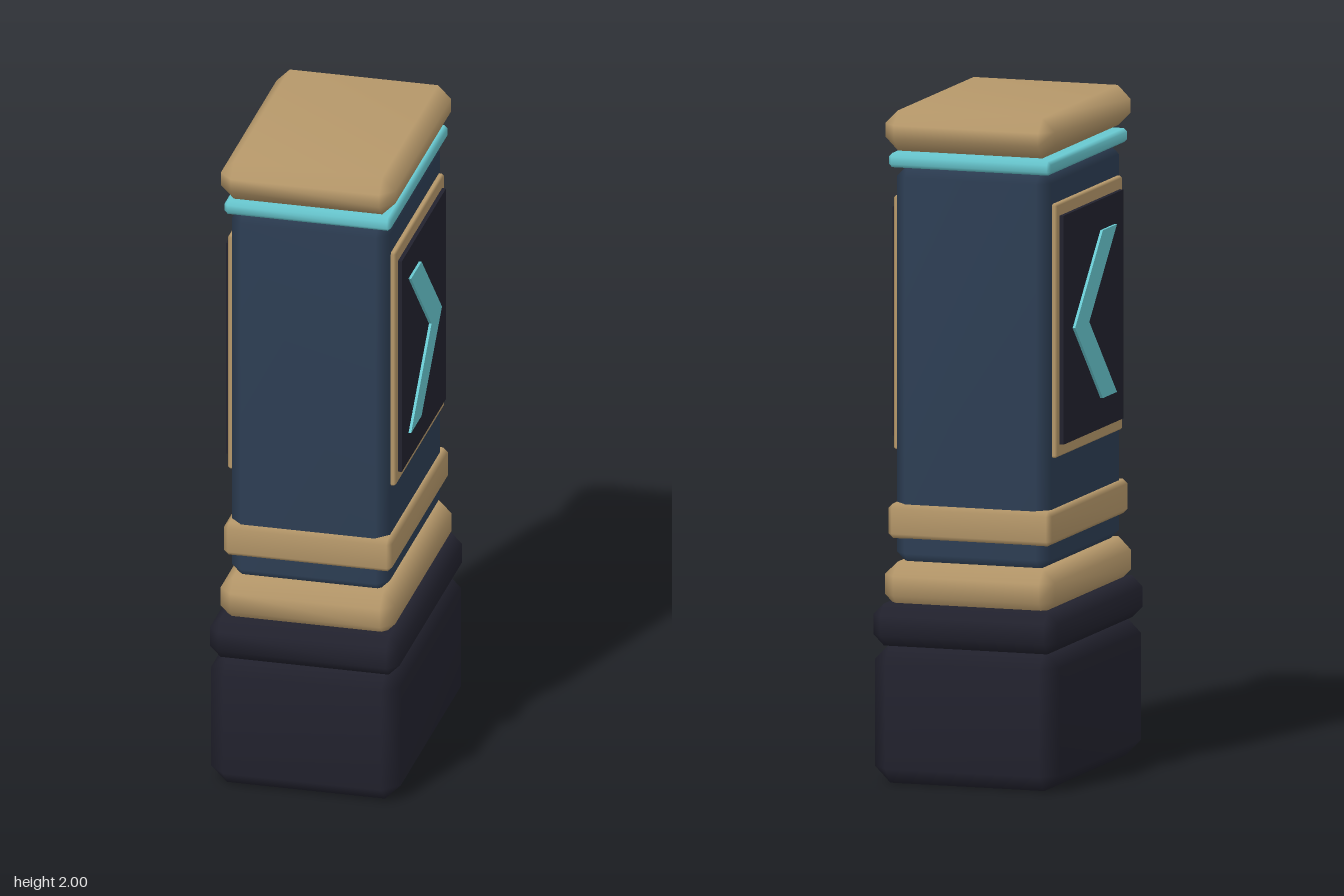
import * as THREE from 'three';
import { ConvexGeometry } from 'three/addons/geometries/ConvexGeometry.js';
import { mergeVertices } from 'three/addons/utils/BufferGeometryUtils.js';

function material(name, color) {
  const m = new THREE.MeshStandardMaterial({ color });
  m.name = name;
  return m;
}

// Box with every edge chamfered by c; normals blend softly over the chamfers
function chamferBox(hx, hy, hz, c) {
  const points = [];
  for (const sx of [-1, 1]) for (const sy of [-1, 1]) for (const sz of [-1, 1]) {
    points.push(
      new THREE.Vector3(sx * hx, sy * (hy - c), sz * (hz - c)),
      new THREE.Vector3(sx * (hx - c), sy * hy, sz * (hz - c)),
      new THREE.Vector3(sx * (hx - c), sy * (hy - c), sz * hz));
  }
  const hull = new ConvexGeometry(points);
  hull.deleteAttribute('normal');
  const geometry = mergeVertices(hull, 1e-5);
  geometry.computeVertexNormals();
  return geometry;
}

export function createModel() {
  const group = new THREE.Group();
  const gold = material('gold', 0xb6986a);
  const navy = material('navy', 0x2d3e54);
  const dark = material('dark', 0x22222e);
  const teal = material('teal', 0x68c8d0);

  function add(parent, name, geometry, mat, x = 0, y = 0, z = 0) {
    const mesh = new THREE.Mesh(geometry, mat);
    mesh.name = name;
    mesh.position.set(x, y, z);
    parent.add(mesh);
    return mesh;
  }

  // Stacked blocks: name, material, half width, half depth, bottom, top, chamfer
  const blocks = [
    ['base', dark, 0.288, 0.408, 0, 0.415, 0.048],
    ['baseTrim', dark, 0.288, 0.408, 0.41, 0.535, 0.033],
    ['lowerCollar', gold, 0.265, 0.374, 0.52, 0.655, 0.038],
    ['body', navy, 0.24, 0.335, 0.645, 1.835, 0.035],
    ['band', gold, 0.255, 0.348, 0.725, 0.828, 0.014],
    ['glowRing', teal, 0.253, 0.347, 1.83, 1.872, 0.01],
    ['cap', gold, 0.265, 0.374, 1.88, 2, 0.04],
  ];
  for (const [name, mat, hx, hz, y0, y1, c] of blocks) {
    add(group, name, chamferBox(hx, (y1 - y0) / 2, hz, c), mat, 0, (y0 + y1) / 2, 0);
  }

  // Arrow outline, drawn in (-z, y) and pointing to the back
  const arrow = new THREE.Shape([
    [-0.185, 1.61], [0.06, 1.355], [-0.185, 1.11],
    [-0.06, 1.11], [0.185, 1.355], [-0.06, 1.61],
  ].map(([u, v]) => new THREE.Vector2(u, v)));
  const arrowGeometry = new THREE.ExtrudeGeometry(arrow, { depth: 0.009, bevelEnabled: false });

  // Side panels, with the arrow turned to point to the back on both sides
  for (const side of [1, -1]) {
    const panel = new THREE.Group();
    panel.name = side > 0 ? 'leftPanel' : 'rightPanel';
    add(panel, 'panelFrame', chamferBox(0.02, 0.378, 0.292, 0.006), gold, side * 0.235, 1.36, 0);
    add(panel, 'panelPlate', new THREE.BoxGeometry(0.03, 0.682, 0.53), dark, side * 0.252, 1.36, 0);
    const mark = add(panel, 'arrow', arrowGeometry, teal, side * 0.266, 0, 0);
    mark.rotation.y = side * Math.PI / 2;
    if (side < 0) {
      // Mirrored outline for the other side
      const flipped = new THREE.Shape(arrow.getPoints().map((p) => new THREE.Vector2(-p.x, p.y)));
      mark.geometry = new THREE.ExtrudeGeometry(flipped, { depth: 0.009, bevelEnabled: false });
    }
    group.add(panel);
  }
  return group;
}
